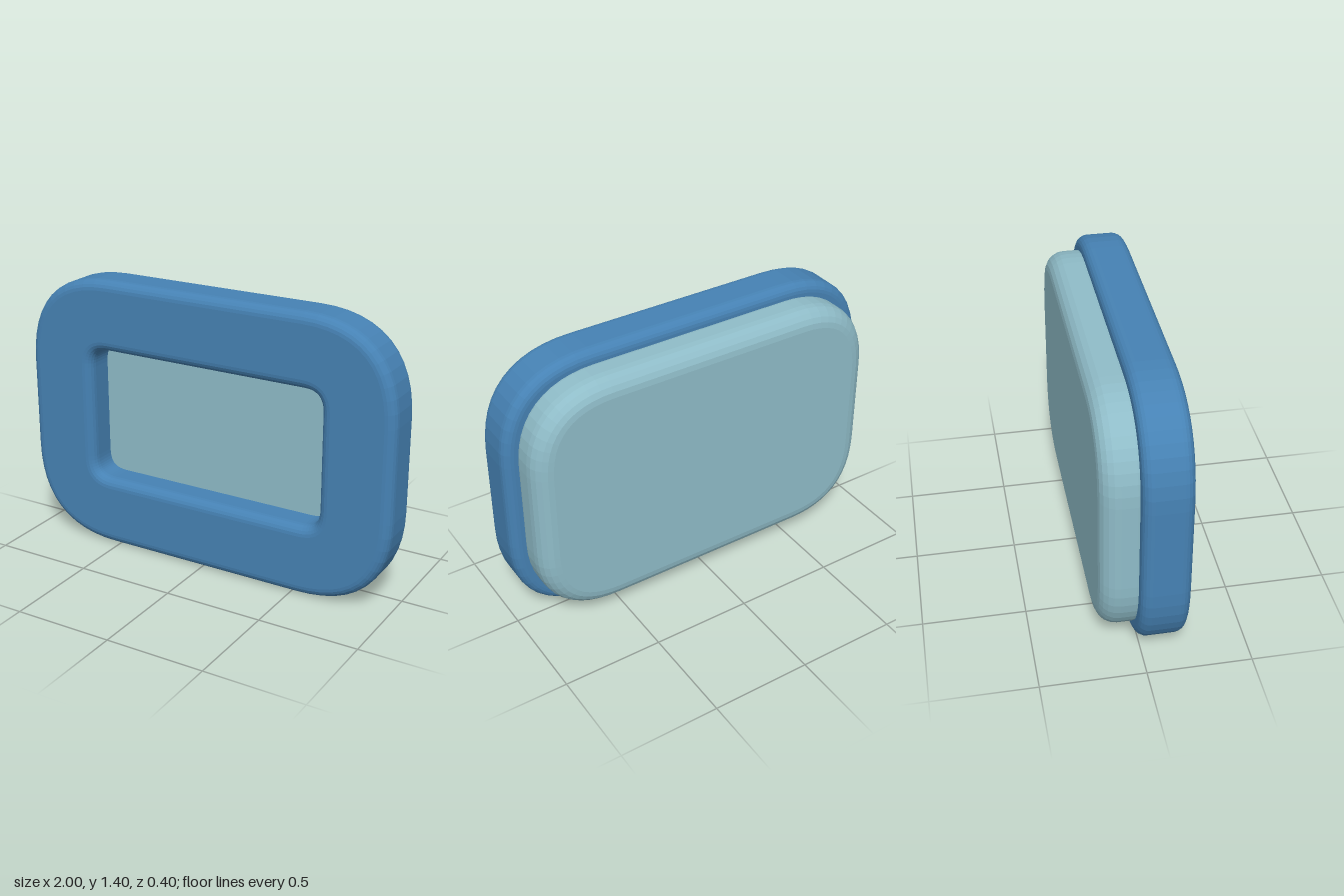
import * as THREE from 'three';

// Rounded rectangle centred on the origin, given half sizes and corner reach
function roundedRect(path, w, h, r) {
  path.moveTo(-w + r, -h);
  path.lineTo(w - r, -h);
  path.quadraticCurveTo(w, -h, w, -h + r);
  path.lineTo(w, h - r);
  path.quadraticCurveTo(w, h, w - r, h);
  path.lineTo(-w + r, h);
  path.quadraticCurveTo(-w, h, -w, h - r);
  path.lineTo(-w, -h + r);
  path.quadraticCurveTo(-w, -h, -w + r, -h);
  return path;
}

// Bevelled slab between two z planes; the bevel grows the outline
function slab(name, shape, zBack, zFront, bevel, color) {
  const geometry = new THREE.ExtrudeGeometry(shape, {
    depth: zFront - zBack - 2 * bevel,
    bevelThickness: bevel,
    bevelSize: bevel,
    bevelSegments: 5,
    curveSegments: 12,
  });
  geometry.translate(0, 0.7, zBack + bevel);
  const mesh = new THREE.Mesh(geometry, new THREE.MeshStandardMaterial({ color }));
  mesh.name = name;
  return mesh;
}

export function createModel() {
  const group = new THREE.Group();
  group.name = 'framedPanel';

  // Front frame with a rounded window
  const frameShape = roundedRect(new THREE.Shape(), 0.95, 0.65, 0.42);
  frameShape.holes.push(roundedRect(new THREE.Path(), 0.685, 0.39, 0.15));
  group.add(slab('frame', frameShape, -0.03, 0.2, 0.05, 0x4682b4));

  // Back panel, set partly into the frame
  const panelShape = roundedRect(new THREE.Shape(), 0.84, 0.545, 0.32);
  group.add(slab('backPanel', panelShape, -0.2, 0.05, 0.09, 0x8fbcc8));

  return group;
}
